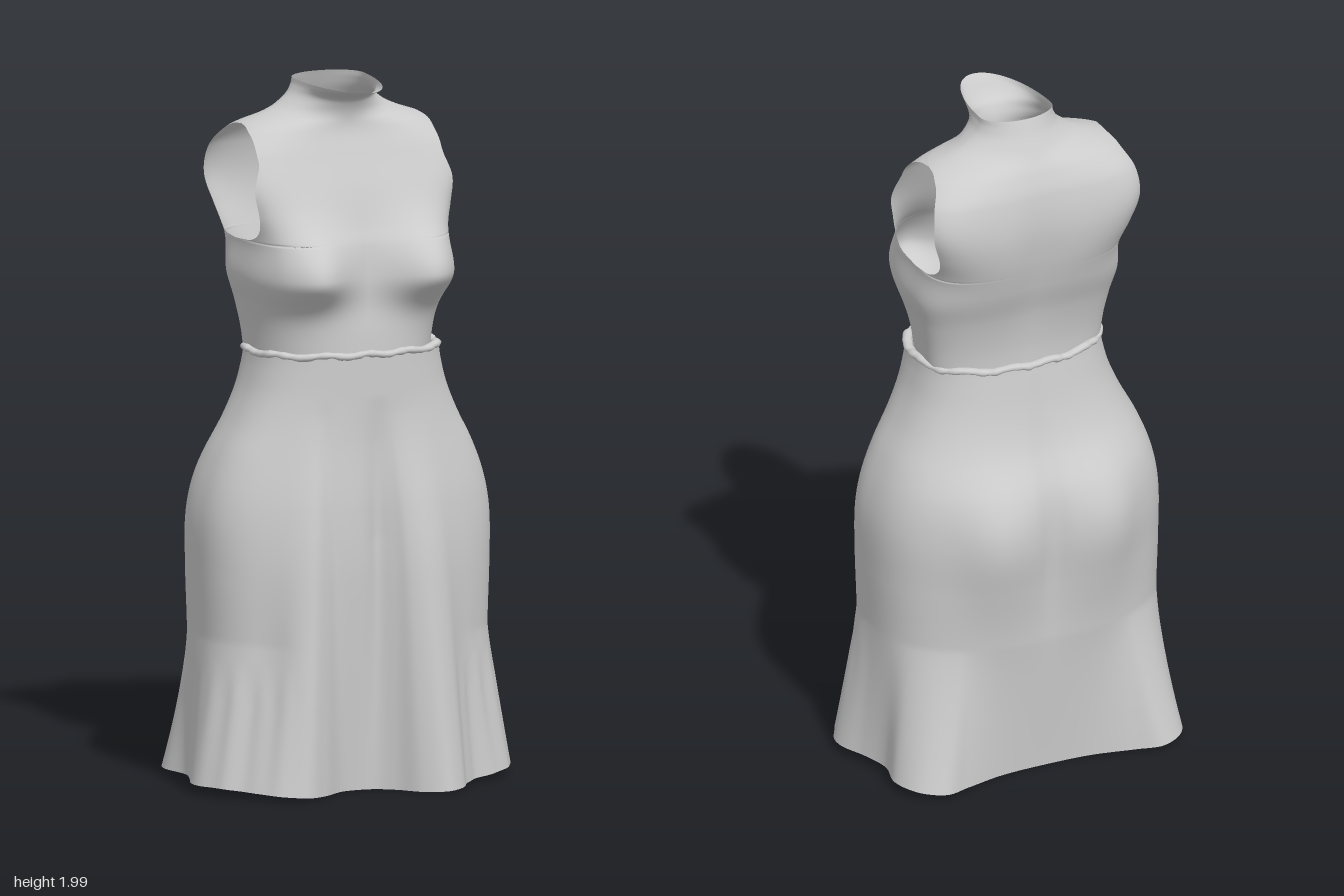
import * as THREE from 'three';
import { mergeVertices } from 'three/addons/utils/BufferGeometryUtils.js';

// Smooth interpolation through [key, value] pairs sorted by key
function profile(pairs) {
  const slope = (i) => {
    const a = pairs[Math.max(i - 1, 0)], b = pairs[Math.min(i + 1, pairs.length - 1)];
    return (b[1] - a[1]) / (b[0] - a[0]);
  };
  return (k) => {
    const last = pairs.length - 1;
    if (k <= pairs[0][0]) return pairs[0][1];
    if (k >= pairs[last][0]) return pairs[last][1];
    let i = 0;
    while (k > pairs[i + 1][0]) i++;
    const [k0, v0] = pairs[i], [k1, v1] = pairs[i + 1], h = k1 - k0, t = (k - k0) / h;
    return v0 + t * h * slope(i) * (1 - t) ** 2 + t * t * (3 - 2 * t) * (v1 - v0)
      - t * t * (1 - t) * h * slope(i + 1);
  };
}

const bell = (d, width) => Math.exp(-((d / width) ** 2));
const clamp01 = (v) => Math.min(1, Math.max(0, v));

// Radius of a superellipse with half-axes a and b in direction (c, s)
const ovalRadius = (a, b, n, c, s) => (Math.abs(c / a) ** n + Math.abs(s / b) ** n) ** (-1 / n);

// Surface from a function point(u, v), u running round and v running up
function sheet(point, cols, rows) {
  const pos = [], index = [];
  for (let j = 0; j <= rows; j++)
    for (let i = 0; i <= cols; i++) pos.push(...point(i / cols, j / rows));
  for (let j = 0; j < rows; j++)
    for (let i = 0; i < cols; i++) {
      const a = j * (cols + 1) + i, b = a + 1, c = a + cols + 1, d = c + 1;
      index.push(a, b, d, a, d, c);
    }
  return { pos, index };
}

// Join several sheets so that seams shade smoothly
function join(...sheets) {
  const pos = [], index = [];
  for (const s of sheets) {
    const base = pos.length / 3;
    for (const p of s.pos) pos.push(p);
    for (const i of s.index) index.push(base + i);
  }
  const g = new THREE.BufferGeometry();
  g.setAttribute('position', new THREE.Float32BufferAttribute(pos, 3));
  g.setIndex(index);
  const merged = mergeVertices(g, 1e-5);
  merged.computeVertexNormals();
  return merged;
}

// Bodice: oval sections, cut open at the sides by the armholes
function bodiceGeometry() {
  const side = profile([[1.2, 0.262], [1.3, 0.274], [1.38, 0.29], [1.46, 0.308], [1.56, 0.3], [1.64, 0.32],
    [1.72, 0.342], [1.8, 0.34], [1.86, 0.305], [1.88, 0.272], [1.9, 0.215], [1.92, 0.17], [1.95, 0.13],
    [1.98, 0.113], [2, 0.11]]);
  const front = profile([[1.2, 0.195], [1.3, 0.19], [1.38, 0.18], [1.45, 0.175], [1.55, 0.165], [1.6, 0.15],
    [1.7, 0.12], [1.8, 0.08], [1.86, 0.058], [1.9, 0.056], [1.94, 0.07], [1.96, 0.09], [1.975, 0.125],
    [1.985, 0.16], [2, 0.19]]);
  const back = profile([[1.2, 0.17], [1.3, 0.175], [1.4, 0.195], [1.5, 0.23], [1.6, 0.255], [1.7, 0.264],
    [1.8, 0.25], [1.86, 0.225], [1.9, 0.2], [1.95, 0.172], [2, 0.15]]);
  const squareness = profile([[1.2, 2.4], [1.45, 2.8], [1.56, 3.2], [1.72, 5], [1.8, 4.2], [1.87, 2.4],
    [1.9, 1.75], [1.94, 1.8], [2, 2]]);

  // way is 1 for the front panel and -1 for the back panel
  const panel = (way) => (u, v) => {
    const y = 1.2 + 0.8 * v, n = squareness(y), a = side(y), d = (y - 1.72) / 0.16;
    const mid = -0.066 - 0.0128 * Math.min(1, Math.max(-1, d));
    const depth = way > 0 ? front(y) - mid : back(y) + mid;
    // armhole edge, as a starting angle on the section
    const k = d < 0 ? 3 : 2;
    const open = Math.max(0, 1 - Math.abs(d) ** k) ** (1 / k);
    const ratio = Math.min(0.94, (0.151 * open) / depth);
    const start = Math.atan2(ratio * depth, a * (1 - ratio ** n) ** (1 / n));
    const t = start + (Math.PI - 2 * start) * u, c = -Math.cos(t), s = Math.sin(t);
    const r = ovalRadius(a, depth, n, c, s), x = way * r * c;
    let z = mid + way * r * s;
    if (way > 0) {
      const dx = Math.abs(x) - 0.195, dy = y - 1.465;
      z += 0.11 * bell(dx, dx < 0 ? 0.125 : 0.135) * bell(dy, dy < 0 ? 0.085 : 0.135) * clamp01(s * 2) ** 0.7;
    } else {
      z += 0.016 * bell(x, 0.07) * bell(y - 1.6, 0.25);
    }
    // neck rim tilts down towards the front
    const tilt = 0.015 * clamp01((y - 1.95) / 0.05) * clamp01((z + 0.15) / 0.34);
    return [x, y - tilt, z];
  };
  return join(sheet(panel(1), 72, 200), sheet(panel(-1), 72, 200));
}

// Wavy hem outline, from the front centre round by +x
const hem = new THREE.CatmullRomCurve3([
  [0, 0.21], [0.055, 0.25], [0.105, 0.32], [0.17, 0.355], [0.225, 0.33], [0.265, 0.275], [0.31, 0.235],
  [0.39, 0.205], [0.455, 0.15], [0.487, 0.06], [0.455, -0.03], [0.428, -0.12], [0.447, -0.22], [0.41, -0.30],
  [0.34, -0.335], [0.26, -0.31], [0.14, -0.275], [0, -0.265], [-0.14, -0.275], [-0.26, -0.31], [-0.34, -0.335],
  [-0.41, -0.30], [-0.442, -0.22], [-0.425, -0.12], [-0.455, -0.03], [-0.487, 0.06], [-0.45, 0.16],
  [-0.39, 0.22], [-0.325, 0.295], [-0.25, 0.32], [-0.18, 0.285], [-0.09, 0.215],
].map(([x, z]) => new THREE.Vector3(x, 0, z)), true);

const hipSide = profile([[0, 0.43], [0.4, 0.428], [0.6, 0.435], [0.75, 0.436], [0.85, 0.42], [0.95, 0.385],
  [1.05, 0.335], [1.13, 0.302], [1.2, 0.284], [1.24, 0.278]]);
const hipFront = profile([[0, 0.25], [0.6, 0.25], [0.8, 0.235], [1, 0.212], [1.24, 0.206]]);
const hipBack = profile([[0, 0.295], [0.45, 0.302], [0.6, 0.308], [0.75, 0.316], [0.88, 0.302], [1, 0.25],
  [1.1, 0.222], [1.24, 0.198]]);
const hipSquareness = profile([[0, 2.9], [0.5, 2.8], [0.8, 2.6], [1.24, 2.4]]);

// Distance from the axis to the body of the skirt
const bodyRadius = (y, c, s) => s > 0
  ? ovalRadius(hipSide(y), hipFront(y), 2.45, c, s)
  : ovalRadius(hipSide(y), hipBack(y), hipSquareness(y), c, s);

// Skirt: rounded hips blending into the wavy hem
function skirtGeometry() {
  const point = (u, v) => {
    const h = hem.getPoint(u % 1), hemR = Math.hypot(h.x, h.z);
    const c = h.x / hemR, s = h.z / hemR, y = 1.245 * v;
    let r = bodyRadius(y, c, s);
    const x = r * c;
    if (s < 0) {
      // seat
      const dy = y - 0.76;
      r += -s * 0.052 * bell(Math.abs(x) - 0.16, 0.12) * bell(dy, dy < 0 ? 0.25 : 0.17);
      r -= 0.014 * bell(x, 0.025) * bell(y - 0.8, 0.25);
    } else {
      // centre front crease and long draped folds
      const drop = clamp01((1.12 - y) / 0.4);
      r += s * drop * (0.014 * bell(Math.abs(x) - 0.15, 0.07) - 0.036 * bell(x - 0.02, 0.04)
        - 0.024 * bell(x + 0.14, 0.025));
    }
    // long flare in front, short flare at the sides and back
    const longW = clamp01((1.08 - y) / 1.08) ** 1.3;
    const shortW = clamp01((0.42 - y) / 0.42) ** 1.15;
    const f = clamp01((s - 0.45) / 0.35);
    const w = shortW + (longW - shortW) * f * f * (3 - 2 * f);
    r += (hemR - r) * w;
    // small pleats below the flounce seam
    const pleat = clamp01((0.36 - y) / 0.1) * bell(s - 0.4, 0.3);
    r += 0.005 * pleat * Math.cos(Math.atan2(s, c) * 34) * (1 - 0.5 * w);
    const bottom = 0.006 + 0.026 * Math.min(1, Math.abs(r * c) / 0.45) ** 2;
    return [r * c, y + bottom * (1 - v), r * s];
  };
  return join(sheet(point, 240, 110));
}

// Gathered edge along the waist
function frillGeometry() {
  const point = (u, v) => {
    const t = Math.PI * 2 * u, q = -Math.PI * 2 * v;
    const c = Math.sin(t), s = Math.cos(t);
    const lump = (Math.sin(t * 13) + Math.sin(t * 29 + 1) + Math.sin(t * 41 + 2)) / 3;
    const r = bodyRadius(1.24, c, s) - 0.006 + 0.003 * lump - 0.014 * Math.cos(q);
    const height = 1.243 + 0.003 * Math.sin(t * 11 + 2) + (0.01 + 0.002 * lump) * Math.sin(q);
    return [r * c, height, r * s];
  };
  return join(sheet(point, 240, 10));
}

export function createModel() {
  const fabric = new THREE.MeshStandardMaterial({ color: 0xcccccc, side: THREE.DoubleSide });
  fabric.name = 'grey fabric';
  const model = new THREE.Group();
  model.name = 'dress';
  const parts = { bodice: bodiceGeometry(), skirt: skirtGeometry(), waistFrill: frillGeometry() };
  for (const [name, geometry] of Object.entries(parts)) {
    const mesh = new THREE.Mesh(geometry, fabric);
    mesh.name = name;
    model.add(mesh);
  }
  return model;
}
